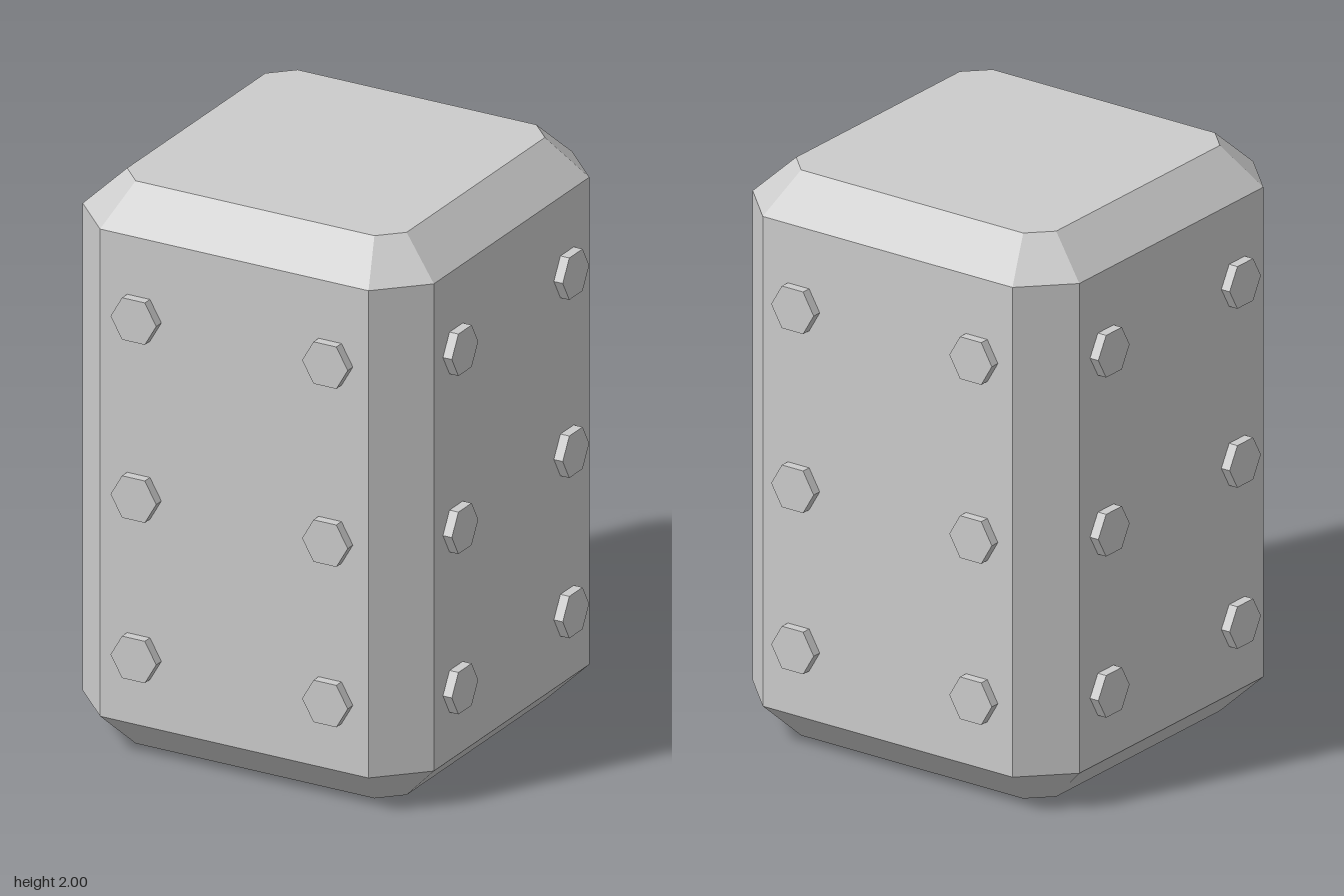
import * as THREE from 'three';

const material = new THREE.MeshStandardMaterial({ color: 0xcccccc, flatShading: true });

// Square with cut corners, counter-clockwise seen from above
function ring(half, flat, y) {
  const corners = [];
  for (let i = 0; i < 4; i++) {
    const c = Math.round(Math.cos(i * Math.PI / 2));
    const s = Math.round(Math.sin(i * Math.PI / 2));
    for (const u of [-flat, flat]) corners.push([u * c + half * s, y, half * c - u * s]);
  }
  return corners;
}

// Closed solid through a stack of rings, with flat caps
function loft(rings) {
  const positions = [];
  const tri = (...points) => points.forEach((p) => positions.push(...p));
  const n = rings[0].length;
  for (let r = 0; r < rings.length - 1; r++) {
    const low = rings[r], high = rings[r + 1];
    for (let i = 0; i < n; i++) {
      const j = (i + 1) % n;
      tri(low[i], low[j], high[j]);
      tri(low[i], high[j], high[i]);
    }
  }
  const bottom = rings[0], top = rings[rings.length - 1];
  for (let i = 1; i < n - 1; i++) {
    tri(top[0], top[i], top[i + 1]);
    tri(bottom[0], bottom[i + 1], bottom[i]);
  }
  const geometry = new THREE.BufferGeometry();
  geometry.setAttribute('position', new THREE.Float32BufferAttribute(positions, 3));
  geometry.computeVertexNormals();
  return geometry;
}

export function createModel() {
  const model = new THREE.Group();
  model.name = 'boltedBlock';

  // Chamfered body
  const body = new THREE.Mesh(loft([
    ring(0.527, 0.45, 0),
    ring(0.662, 0.506, 0.135),
    ring(0.662, 0.506, 1.867),
    ring(0.527, 0.45, 2),
  ]), material);
  body.name = 'body';
  model.add(body);

  // Hexagonal bolt heads, two columns of three on each side
  const boltGeometry = new THREE.CylinderGeometry(0.086, 0.086, 0.045, 6);
  boltGeometry.rotateY(Math.PI / 6).rotateX(Math.PI / 2);
  ['front', 'left', 'back', 'right'].forEach((side, i) => {
    const bolts = new THREE.Group();
    bolts.name = side + 'Bolts';
    bolts.rotation.y = i * Math.PI / 2;
    for (const x of [-0.361, 0.361]) {
      for (const y of [0.38, 0.95, 1.583]) {
        const bolt = new THREE.Mesh(boltGeometry, material);
        bolt.name = 'bolt';
        bolt.position.set(x, y, 0.673);
        bolts.add(bolt);
      }
    }
    model.add(bolts);
  });

  return model;
}
